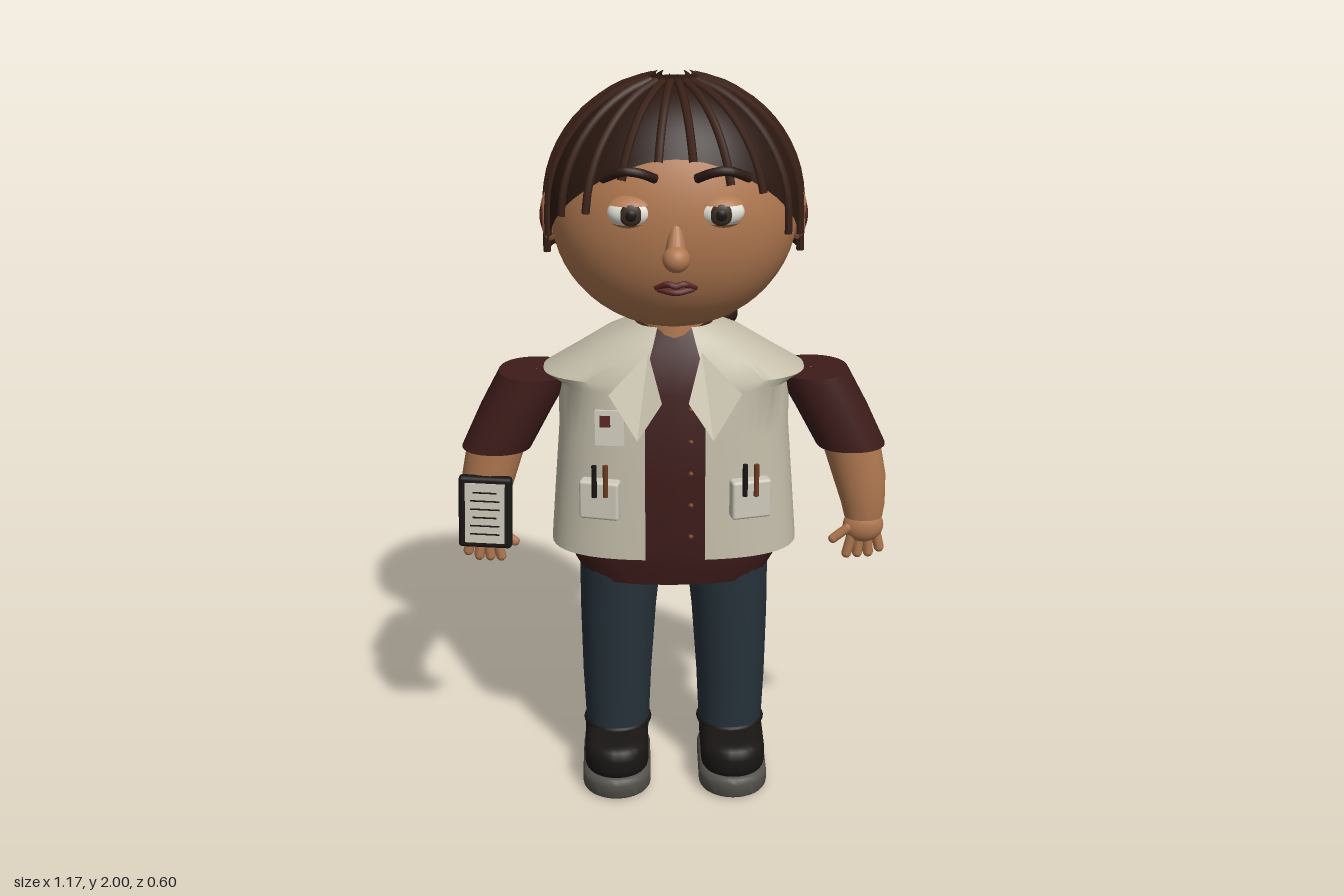
import * as THREE from 'three';
import { toCreasedNormals } from 'three/addons/utils/BufferGeometryUtils.js';
import { RoundedBoxGeometry } from 'three/addons/geometries/RoundedBoxGeometry.js';

const mat = (color, side = THREE.FrontSide) => new THREE.MeshStandardMaterial({ color, side });
const SKIN = mat(0xb07850), HAIR = mat(0x2a1710, THREE.DoubleSide), STRAND = mat(0x3a2016);
const SHIRT = mat(0x3d1c1a), VEST = mat(0xc4beaa, THREE.DoubleSide), JEANS = mat(0x26323a);
const BLACK = mat(0x191614), SOLE = mat(0x55524b), WHITE = mat(0xe4e0d6), PAPER = mat(0xcfcabb);
const RED = mat(0x8a2a1c), LIP = mat(0x5a2420), PEN = mat(0x6e3a22), IRIS = mat(0x3a2c20);

function add(parent, name, geo, material, pos = [0, 0, 0], scale = [1, 1, 1], rot = [0, 0, 0]) {
  const m = new THREE.Mesh(geo, material);
  m.name = name;
  m.position.set(...pos);
  m.scale.set(...scale);
  m.rotation.set(...rot);
  parent.add(m);
  return m;
}
const ball = (parent, name, material, pos, radii) =>
  add(parent, name, new THREE.SphereGeometry(1, 24, 16), material, pos, radii);
const vec = (p) => new THREE.Vector3(...p);
const tube = (pts, r, n = 12) =>
  new THREE.TubeGeometry(new THREE.CatmullRomCurve3(pts.map(vec)), n, r, 6);

// Grid surface: i runs round from +z towards +x, j runs downwards
function surface(point, nu, nv, crease = 0.7) {
  const pos = [], index = [], w = nu + 1;
  for (let j = 0; j <= nv; j++) for (let i = 0; i <= nu; i++) pos.push(...point(i / nu, j));
  for (let j = 0; j < nv; j++) for (let i = 0; i < nu; i++) {
    const k = j * w + i;
    index.push(k, k + w, k + 1, k + 1, k + w, k + w + 1);
  }
  const g = new THREE.BufferGeometry();
  g.setAttribute('position', new THREE.Float32BufferAttribute(pos, 3));
  g.setIndex(index);
  return toCreasedNormals(g, crease);
}

// Horizontal sections [y, cx, cz, rx, rz, front gap], rounded by exponent n
function loft(sections, n = 2, nu = 32) {
  const sp = (v) => Math.sign(v) * Math.pow(Math.abs(v), 2 / n);
  return surface((u, j) => {
    const [y, cx, cz, rx, rz, gap = 0] = sections[j];
    const a0 = gap ? Math.asin(Math.pow(gap / rx, n / 2)) : 0;
    const a = a0 + u * (2 * Math.PI - 2 * a0);
    return [cx + rx * sp(Math.sin(a)), y, cz + rz * sp(Math.cos(a))];
  }, nu, sections.length - 1);
}

// Hair dome: angle a around the head, s down from the crown
const hairY = 1.66, hairH = 0.335;
function hairPoint(a, s, k = 1) {
  const r = k * (s < Math.PI / 2 ? Math.sin(s) : 1);
  const y = s < Math.PI / 2 ? Math.cos(s) * k : Math.PI / 2 - s;
  const rz = Math.cos(a) > 0 ? 0.265 : 0.268;
  return [0.332 * r * Math.sin(a), hairY + hairH * y, -0.02 + rz * r * Math.cos(a)];
}
function hairEnd(a) {
  const edge = 1.53 + Math.max(0, 0.265 * Math.cos(a)) * 1.15 - hairY;
  return edge > 0 ? Math.acos(edge / hairH) : Math.PI / 2 - edge / hairH;
}

function buildHead() {
  const g = new THREE.Group();
  g.name = 'head';
  add(g, 'face', new THREE.SphereGeometry(1, 40, 28), SKIN, [0, 1.65, 0.005], [0.322, 0.31, 0.235]);
  add(g, 'hairCap', surface((u, j) => hairPoint(u * 2 * Math.PI, j / 16 * hairEnd(u * 2 * Math.PI)), 48, 16), HAIR);
  const fringe = [0.02, 0.12, 0.05, 0.2, 0.08];
  for (let i = 0; i < 21; i++) {
    const a = (i + 0.5) / 21 * Math.PI * 2, pts = [];
    const end = hairEnd(a) + (Math.cos(a) > 0.3 ? fringe[i % 5] : 0.01);
    for (let k = 0; k <= 8; k++) pts.push(hairPoint(a, 0.2 + (end - 0.2) * k / 8, 1.008));
    add(g, 'hairStrand', tube(pts, 0.011, 16), STRAND);
  }
  // Nose and mouth
  add(g, 'noseBridge', loft([[1.69, 0, 0.215, 0.008, 0.01], [1.65, 0, 0.23, 0.02, 0.03],
    [1.6, 0, 0.25, 0.03, 0.04], [1.575, 0, 0.24, 0.025, 0.03]], 2, 16), SKIN);
  ball(g, 'noseTip', SKIN, [0, 1.595, 0.268], [0.035, 0.034, 0.034]);
  add(g, 'upperLip', tube([[-0.052, 1.502, 0.203], [-0.02, 1.515, 0.219], [0, 1.51, 0.222], [0.02, 1.515, 0.219], [0.052, 1.502, 0.203]], 0.009), LIP);
  add(g, 'lowerLip', tube([[-0.045, 1.498, 0.203], [0, 1.492, 0.218], [0.045, 1.498, 0.203]], 0.009), LIP);
  for (const s of [1, -1]) {
    // Eyes, lids, brows and ears
    const x = s * 0.113;
    ball(g, 'eyeWhite', WHITE, [x, 1.7, 0.205], [0.06, 0.038, 0.037]);
    ball(g, 'iris', IRIS, [x, 1.7, 0.233], [0.029, 0.029, 0.012]);
    ball(g, 'pupil', BLACK, [x, 1.7, 0.241], [0.015, 0.015, 0.007]);
    add(g, 'upperLid', new THREE.SphereGeometry(1, 24, 8, 0, Math.PI * 2, 0, 1.05), SKIN, [x, 1.7, 0.203], [0.068, 0.045, 0.043]);
    add(g, 'lowerLid', new THREE.SphereGeometry(1, 24, 8, 0, Math.PI * 2, 2.25, 0.9), SKIN, [x, 1.7, 0.203], [0.066, 0.042, 0.041]);
    add(g, 'eyebrow', tube([[s * 0.05, 1.79, 0.225], [s * 0.09, 1.81, 0.245], [s * 0.13, 1.815, 0.247], [s * 0.185, 1.79, 0.22]], 0.012), HAIR);
    ball(g, 'ear', SKIN, [s * 0.323, 1.63, -0.028], [0.027, 0.07, 0.033]);
    ball(g, 'innerEar', LIP, [s * 0.341, 1.63, -0.02], [0.01, 0.035, 0.015]);
  }
  // Braid down the back, with a red tie
  for (let i = 0; i < 8; i++) {
    const o = i % 2 ? 0.014 : -0.014;
    ball(g, 'braidKnot', HAIR, [0.125 + o, 1.59 - i * 0.043, -0.25 + Math.min(i, 3) * 0.006], [0.042, 0.036, 0.042]);
  }
  ball(g, 'braidTie', RED, [0.125, 1.25, -0.228], [0.036, 0.022, 0.038]);
  return g;
}

function buildTorso() {
  const g = new THREE.Group();
  g.name = 'torso';
  add(g, 'neck', new THREE.CylinderGeometry(0.08, 0.09, 0.12, 20), SKIN, [0, 1.33, -0.02]);
  add(g, 'shirt', loft([[1.34, 0, -0.02, 0.001, 0.001], [1.34, 0, -0.02, 0.09, 0.075], [1.28, 0, -0.03, 0.19, 0.115],
    [1.18, 0, -0.03, 0.27, 0.15], [0.95, 0, -0.035, 0.295, 0.165], [0.74, 0, -0.035, 0.3, 0.168],
    [0.67, 0, -0.035, 0.275, 0.16], [0.625, 0, -0.035, 0.25, 0.15], [0.62, 0, -0.035, 0.001, 0.001]], 2.6), SHIRT);
  add(g, 'vest', loft([[1.345, 0, -0.025, 0.105, 0.085, 0.045], [1.31, 0, -0.03, 0.185, 0.115, 0.055],
    [1.26, 0, -0.03, 0.265, 0.14, 0.07], [1.21, 0, -0.03, 0.35, 0.155, 0.08], [1.185, 0, -0.03, 0.31, 0.163, 0.08],
    [1.05, 0, -0.035, 0.31, 0.176, 0.08], [0.88, 0, -0.035, 0.323, 0.183, 0.08],
    [0.715, 0, -0.035, 0.335, 0.186, 0.08]], 2.6, 48), VEST);
  for (let i = 0; i < 5; i++) ball(g, 'shirtButton', PEN, [0.042, 0.78 + i * 0.09, 0.142 - i * 0.003], [0.007, 0.007, 0.007]);
  for (const s of [1, -1]) {
    // Folded lapel
    const q = [[0.07, 1.29, 0.1], [0.035, 1.17, 0.165], [0.1, 1.075, 0.19], [0.175, 1.19, 0.15]].map(([x, y, z]) => [s * x, y, z]);
    const lapel = new THREE.BufferGeometry();
    lapel.setAttribute('position', new THREE.Float32BufferAttribute(
      (s > 0 ? [0, 1, 2, 0, 2, 3] : [0, 2, 1, 0, 3, 2]).flatMap((i) => q[i]), 3));
    lapel.computeVertexNormals();
    add(g, 'lapel', lapel, VEST);
    add(g, 'pocket', new RoundedBoxGeometry(0.108, 0.108, 0.04, 2, 0.008), PAPER, [s * 0.2, 0.895, 0.145], [1, 1, 1], [0, s * 0.25, 0]);
    for (const dx of [-0.015, 0.015])
      add(g, 'pen', new THREE.CylinderGeometry(0.007, 0.007, 0.09, 8), dx > 0 ? PEN : BLACK, [s * 0.2 + dx, 0.955, 0.17]);
  }
  add(g, 'badge', new THREE.BoxGeometry(0.078, 0.095, 0.012), PAPER, [-0.172, 1.1, 0.152], [1, 1, 1], [-0.08, -0.12, 0]);
  add(g, 'badgePhoto', new THREE.BoxGeometry(0.028, 0.03, 0.006), LIP, [-0.185, 1.12, 0.158], [1, 1, 1], [-0.08, -0.12, 0]);
  return g;
}

// Arm on the +x side or, mirrored, on the -x side
function buildArm(s) {
  const g = new THREE.Group();
  g.name = s > 0 ? 'leftArm' : 'rightArm';
  add(g, 'sleeve', loft([[1.2, s * 0.37, -0.033, 0.001, 0.001], [1.2, s * 0.37, -0.033, 0.1, 0.1],
    [1.1, s * 0.425, -0.026, 0.098, 0.098], [0.99, s * 0.48, -0.015, 0.094, 0.086],
    [0.985, s * 0.48, -0.015, 0.001, 0.001]], 2.2), SHIRT);
  add(g, 'forearm', loft([[1, s * 0.48, -0.008, 0.08, 0.07], [0.9, s * 0.505, 0, 0.073, 0.06],
    [0.82, s * 0.518, 0.005, 0.06, 0.05], [0.78, s * 0.52, 0.008, 0.052, 0.04]]), SKIN);
  ball(g, 'palm', SKIN, [s * 0.52, 0.755, 0.012], [0.056, 0.05, 0.036]);
  for (let i = 0; i < 4; i++) {
    const x = 0.482 + i * 0.026;
    add(g, 'finger', new THREE.CapsuleGeometry(0.014, 0.055, 4, 8), SKIN, [s * x, 0.7 + (i === 3 ? 0.012 : 0), 0.02 - i * 0.004], [1, 1, 1], [0, 0, s * (i - 1.5) * 0.15]);
  }
  add(g, 'thumb', new THREE.CapsuleGeometry(0.014, 0.05, 4, 8), SKIN, [s * 0.457, 0.737, 0.028], [1, 1, 1], [0, 0, -s * 0.9]);
  return g;
}

function buildLeg(s) {
  const g = new THREE.Group();
  g.name = s > 0 ? 'leftLeg' : 'rightLeg';
  add(g, 'trouserLeg', loft([[0.69, s * 0.145, -0.03, 0.115, 0.125], [0.5, s * 0.155, -0.03, 0.105, 0.12],
    [0.3, s * 0.16, -0.032, 0.096, 0.107], [0.12, s * 0.16, -0.032, 0.088, 0.098]], 2.2), JEANS);
  // Sole and upper share a rounded footprint
  const foot = (w, len, h, bevel) => {
    const r = w / 2 - bevel, l = len / 2 - bevel - r, shape = new THREE.Shape();
    shape.absarc(0, l, r, 0, Math.PI);
    shape.absarc(0, -l, r, Math.PI, Math.PI * 2);
    const e = new THREE.ExtrudeGeometry(shape, { depth: h - 2 * bevel, bevelThickness: bevel, bevelSize: bevel, bevelSegments: 4, curveSegments: 14 });
    return toCreasedNormals(e.rotateX(-Math.PI / 2).translate(0, bevel, 0), 0.6);
  };
  add(g, 'sole', foot(0.19, 0.355, 0.065, 0.02), SOLE, [s * 0.163, 0, 0.025]);
  add(g, 'shoe', foot(0.178, 0.335, 0.1, 0.035), BLACK, [s * 0.163, 0.05, 0.025]);
  add(g, 'shoeCollar', new THREE.TorusGeometry(0.082, 0.014, 8, 28), BLACK, [s * 0.16, 0.145, -0.03], [1, 1.12, 1], [Math.PI / 2, 0, 0]);
  return g;
}

function buildClipboard() {
  const g = new THREE.Group();
  g.name = 'clipboard';
  add(g, 'board', new RoundedBoxGeometry(0.145, 0.205, 0.03, 2, 0.01), BLACK);
  add(g, 'sheet', new THREE.BoxGeometry(0.108, 0.172, 0.006), PAPER, [0, 0, 0.015]);
  for (let i = 0; i < 6; i++)
    add(g, 'ruledLine', new THREE.BoxGeometry(i % 3 ? 0.08 : 0.065, 0.004, 0.003), BLACK, [0, 0.06 - i * 0.024, 0.018]);
  g.position.set(-0.512, 0.825, 0.062);
  g.rotation.set(-0.03, -0.08, -0.03);
  return g;
}

export function createModel() {
  const model = new THREE.Group();
  model.name = 'figure';
  model.add(buildHead(), buildTorso(), buildClipboard());
  for (const s of [1, -1]) model.add(buildArm(s), buildLeg(s));
  return model;
}
